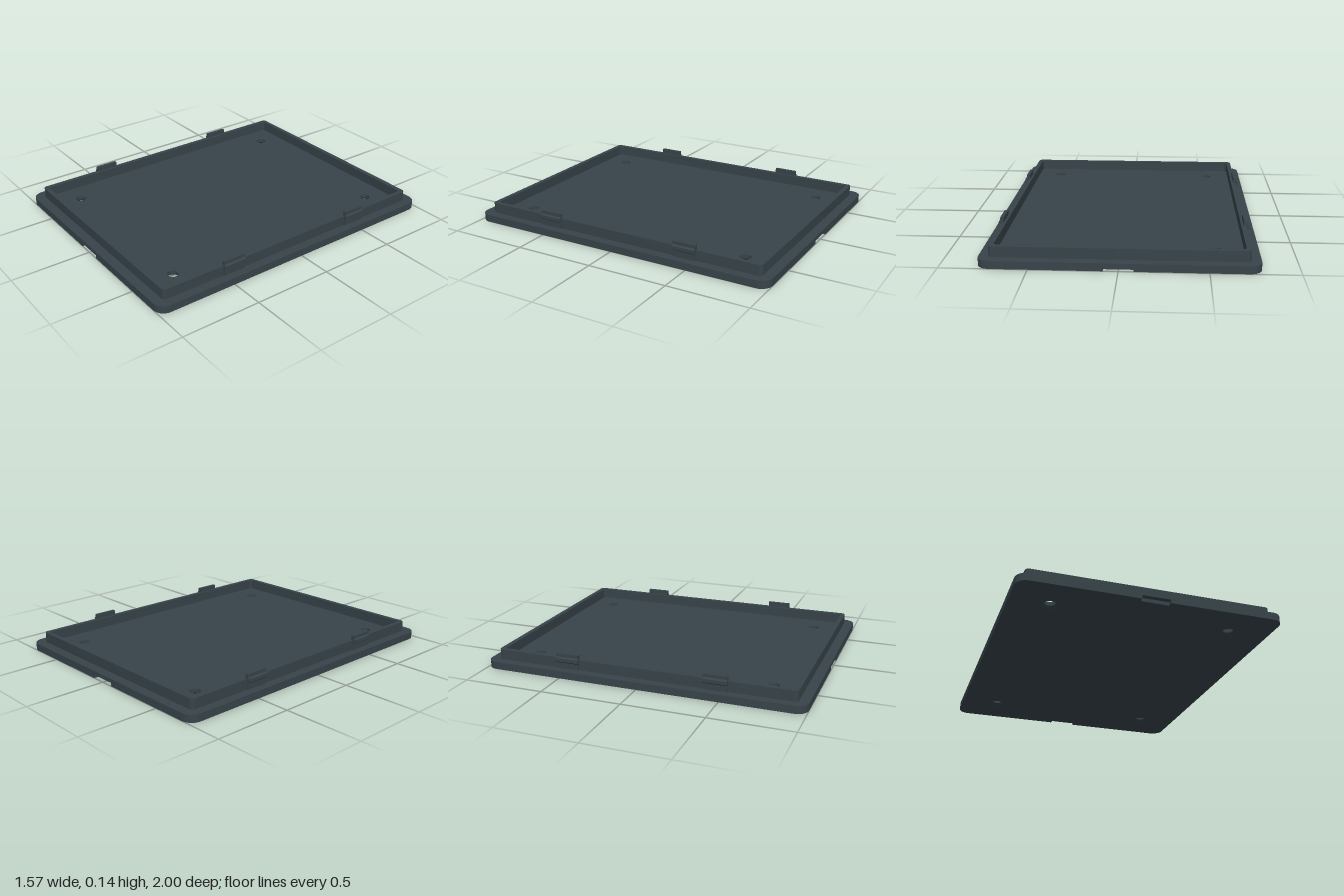
import * as THREE from 'three';
import { toCreasedNormals } from 'three/addons/utils/BufferGeometryUtils.js';

const HOLES = [[-0.547, -0.76], [0.547, -0.76], [-0.547, 0.76], [0.547, 0.76]];

// Rounded rectangle; an optional notch is cut into both short edges
function outline(target, w, h, r, notchHalf = 0, notchDepth = 0) {
  target.moveTo(w, -h + r);
  target.lineTo(w, h - r);
  target.absarc(w - r, h - r, r, 0, Math.PI / 2);
  if (notchHalf) {
    target.lineTo(notchHalf, h).lineTo(notchHalf, h - notchDepth);
    target.lineTo(-notchHalf, h - notchDepth).lineTo(-notchHalf, h);
  }
  target.lineTo(-w + r, h);
  target.absarc(-w + r, h - r, r, Math.PI / 2, Math.PI);
  target.lineTo(-w, -h + r);
  target.absarc(-w + r, -h + r, r, Math.PI, Math.PI * 1.5);
  if (notchHalf) {
    target.lineTo(-notchHalf, -h).lineTo(-notchHalf, -h + notchDepth);
    target.lineTo(notchHalf, -h + notchDepth).lineTo(notchHalf, -h);
  }
  target.lineTo(w - r, -h);
  target.absarc(w - r, -h + r, r, Math.PI * 1.5, Math.PI * 2);
  return target;
}

// Extrudes a ground-plan shape from height y0 to y1
function slab(shape, y0, y1) {
  const geo = new THREE.ExtrudeGeometry(shape, { depth: y1 - y0, bevelEnabled: false, curveSegments: 12 });
  geo.rotateX(-Math.PI / 2).translate(0, y0, 0);
  return toCreasedNormals(geo, 0.5);
}

function drill(shape, r) {
  for (const [x, y] of HOLES) shape.holes.push(new THREE.Path().absarc(x, y, r, 0, Math.PI * 2));
  return shape;
}

export function createModel() {
  const model = new THREE.Group();
  model.name = 'enclosureLid';
  const plastic = new THREE.MeshStandardMaterial({ color: 0x374349 });
  plastic.name = 'darkSlatePlastic';
  plastic.side = THREE.DoubleSide;
  const add = (name, geo) => {
    const mesh = new THREE.Mesh(geo, plastic);
    mesh.name = name;
    model.add(mesh);
    return mesh;
  };

  // Base plate: notched lower layer and plain upper layer
  const split = 0.022, top = 0.046;
  add('plateLower', slab(drill(outline(new THREE.Shape(), 0.787, 1, 0.07, 0.085, 0.03), 0.06), 0, split));
  add('plateUpper', slab(drill(outline(new THREE.Shape(), 0.787, 1, 0.07), 0.032), split, top));

  // Conical countersinks under the screw holes
  const cone = [new THREE.Vector2(0.06, 0), new THREE.Vector2(0.032, split)];
  for (const [x, z] of HOLES) add('countersink', new THREE.LatheGeometry(cone, 32)).position.set(x, 0, z);

  // Raised locating rim
  const rim = outline(new THREE.Shape(), 0.73, 0.94, 0.025);
  rim.holes.push(outline(new THREE.Path(), 0.702, 0.91, 0.02));
  add('rim', slab(rim, top, 0.11));

  // Snap clips with a wedge-shaped catch on the outside
  const profile = new THREE.Shape([
    [0.717, top], [0.738, top], [0.738, 0.083], [0.748, 0.091],
    [0.748, 0.112], [0.738, 0.12], [0.738, 0.14], [0.717, 0.14],
  ].map(([x, y]) => new THREE.Vector2(x, y)));
  const clipGeo = new THREE.ExtrudeGeometry(profile, { depth: 0.146, bevelEnabled: false });
  clipGeo.translate(0, 0, -0.073);
  for (const side of [1, -1]) {
    for (const z of [-0.465, 0.465]) {
      const clip = add(side > 0 ? 'leftClip' : 'rightClip', clipGeo);
      clip.rotation.y = side > 0 ? 0 : Math.PI;
      clip.position.z = z;
    }
  }
  return model;
}
